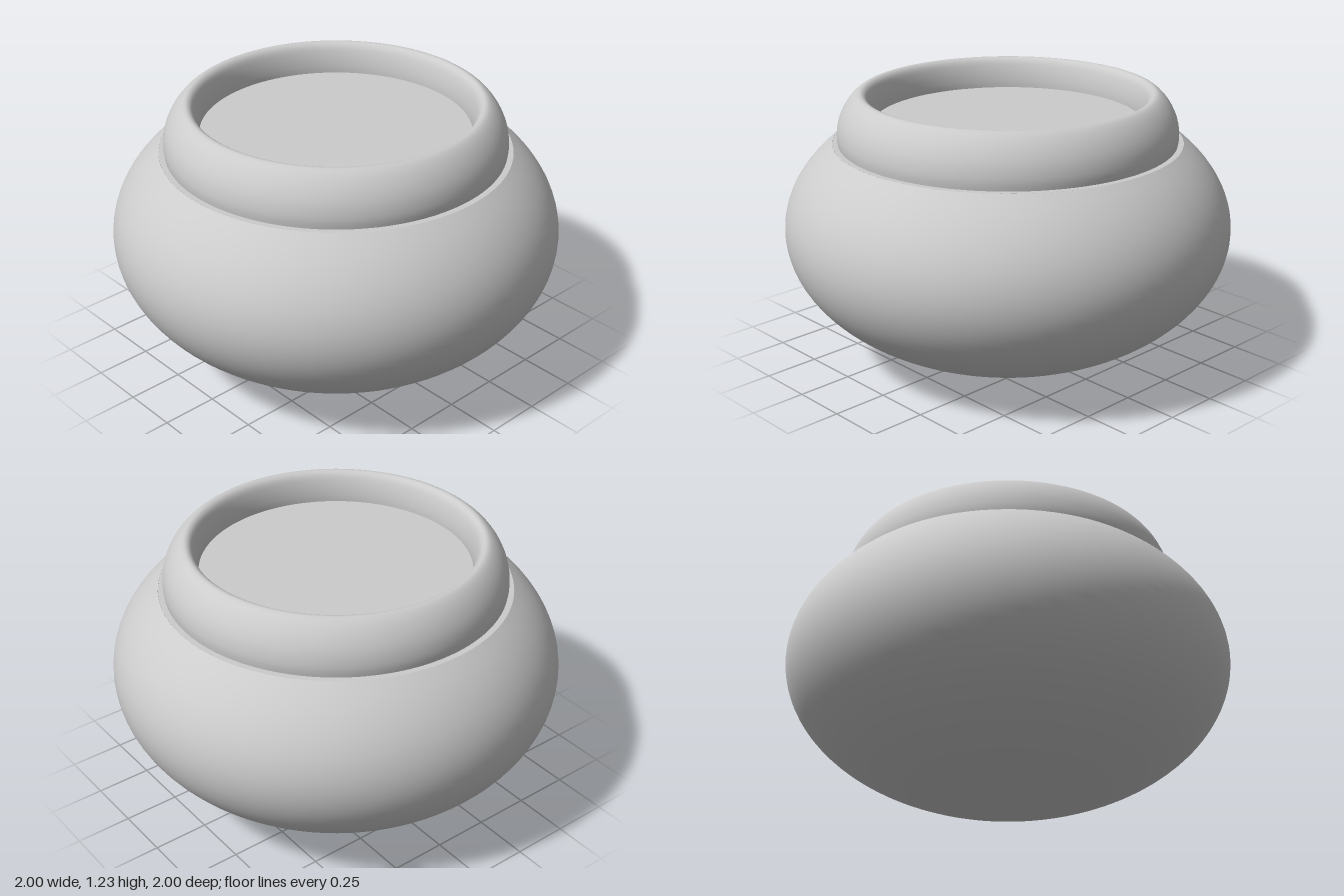
import * as THREE from 'three';

const SEGMENTS = 96;

export function createModel() {
  const group = new THREE.Group();
  const material = new THREE.MeshStandardMaterial({ color: 0xcccccc, side: THREE.DoubleSide });

  function add(name, geometry) {
    const mesh = new THREE.Mesh(geometry, material);
    mesh.name = name;
    group.add(mesh);
    return mesh;
  }

  // Squashed round bowl, cut off level at the shoulder
  const bodyProfile = [];
  const cut = Math.asin(0.39 / 0.62);
  for (let i = 0; i <= 40; i++) {
    const a = -Math.PI / 2 + (cut + Math.PI / 2) * (i / 40);
    bodyProfile.push(new THREE.Vector2(Math.max(0, Math.cos(a)), 0.62 + 0.62 * Math.sin(a)));
  }
  add('body', new THREE.LatheGeometry(bodyProfile, SEGMENTS));

  // Narrow level ledge between the bowl and the rim
  const ledge = add('shoulder', new THREE.RingGeometry(0.7, 0.777, SEGMENTS));
  ledge.rotation.x = -Math.PI / 2;
  ledge.position.y = 1.01;

  // Rounded rim, curving over the lip and down into the mouth
  const rimCurve = new THREE.SplineCurve([
    [0.75, 1.0], [0.755, 1.05], [0.745, 1.11], [0.72, 1.165], [0.685, 1.209],
    [0.65, 1.23], [0.622, 1.215], [0.605, 1.17], [0.597, 1.12], [0.597, 1.08],
  ].map(([x, y]) => new THREE.Vector2(x, y)));
  add('rim', new THREE.LatheGeometry(rimCurve.getPoints(36), SEGMENTS));

  // Flat surface filling the mouth
  const fill = add('contents', new THREE.CircleGeometry(0.6, SEGMENTS));
  fill.rotation.x = -Math.PI / 2;
  fill.position.y = 1.09;

  return group;
}
